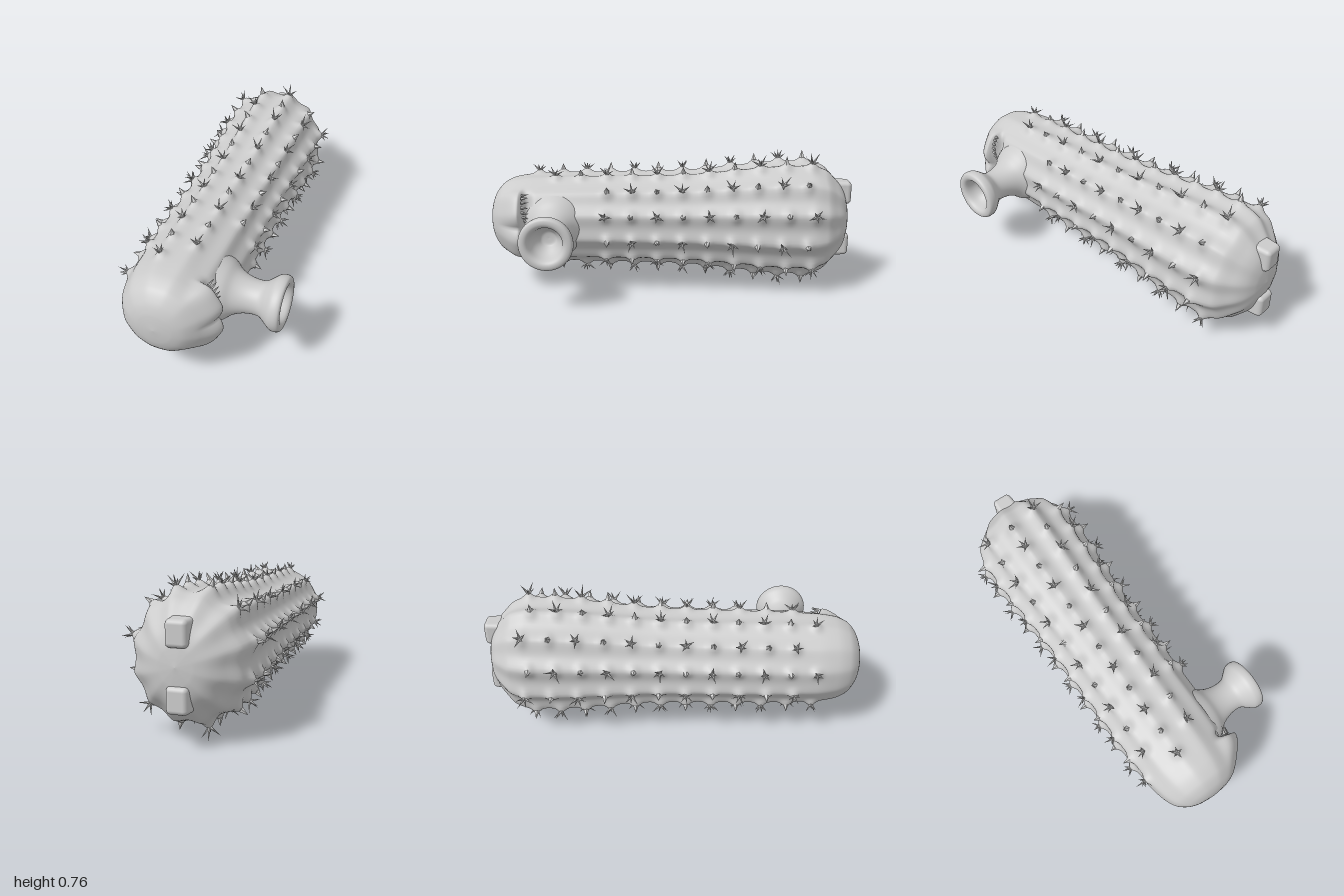
import * as THREE from 'three';
import { mergeGeometries } from 'three/addons/utils/BufferGeometryUtils.js';
import { RoundedBoxGeometry } from 'three/addons/geometries/RoundedBoxGeometry.js';

const CX = -0.08, CY = 0.38, RIBS = 12, STEP = Math.PI * 2 / RIBS;

// Body sections: z, half width, half height, rib depth
const SECTIONS = [
  [1.0, 0.0, 0.0, 0], [0.992, 0.08, 0.08, 0], [0.965, 0.15, 0.15, 0.01], [0.92, 0.198, 0.2, 0.015],
  [0.85, 0.228, 0.228, 0.02], [0.75, 0.247, 0.24, 0.03], [0.5, 0.256, 0.25, 0.05], [0.1, 0.258, 0.257, 0.06],
  [-0.1, 0.26, 0.265, 0.065], [-0.35, 0.273, 0.291, 0.07], [-0.6, 0.289, 0.316, 0.075], [-0.76, 0.29, 0.32, 0.075],
  [-0.84, 0.27, 0.298, 0.07], [-0.9, 0.217, 0.242, 0.06], [-0.95, 0.155, 0.175, 0.04], [-0.978, 0.08, 0.09, 0.02],
  [-0.987, 0, 0, 0],
];

function sectionAt(z) {
  let i = 0;
  while (i < SECTIONS.length - 2 && z < SECTIONS[i + 1][0]) i++;
  const at = k => SECTIONS[Math.min(Math.max(k, 0), SECTIONS.length - 1)];
  const a = at(i), b = at(i + 1), t = (a[0] - z) / (a[0] - b[0]), h = a[0] - b[0];
  // Hermite blend between neighbouring sections
  return [1, 2, 3].map(c => {
    const slope = (p, q) => (p[0] === q[0] ? 0 : (q[c] - p[c]) / (p[0] - q[0]));
    const limit = (p, q) => (p * q <= 0 ? 0 : 2 * p * q / (p + q));
    const s = slope(a, b);
    const m0 = i === 0 ? s : limit(slope(at(i - 1), a), s);
    const m1 = limit(s, slope(b, at(i + 2)));
    return a[c] * (2 * t ** 3 - 3 * t * t + 1) + b[c] * (3 * t * t - 2 * t ** 3)
      + h * (m0 * (t ** 3 - 2 * t * t + t) + m1 * (t ** 3 - t * t));
  });
}

// Spine positions along one rib; ribs beside the bowl start further back
function spineZs(rib) {
  const nearBowl = rib < 2 || rib > RIBS - 3;
  const [start, step] = rib % 2 ? [0.74, 0.134] : [0.63, 0.14];
  return Array.from({ length: 12 }, (_, k) => ({ z: start - k * step, star: k % 2 === 0, k }))
    .filter(s => s.z > -0.8 && !(nearBowl && s.z > 0.44));
}
const SPINES = Array.from({ length: RIBS }, (_, r) => spineZs(r));

function bodyPoint(theta, z) {
  const [rx, ry, depth] = sectionAt(z);
  const rib = Math.floor(theta / STEP) % RIBS;
  const off = theta - (Math.floor(theta / STEP) + 0.5) * STEP;
  const valley = Math.sin(Math.min(1, Math.abs(off) / (STEP / 2)) * Math.PI / 2) ** 1.4;
  let e = 0;
  for (const s of SPINES[rib]) e += 0.024 * Math.exp(-(((z - s.z) / 0.026) ** 2) - (off / 0.1) ** 2);
  // Two swollen lips beside the nose, ending in a steep edge with a pocket behind it
  const side = Math.abs(Math.atan2(Math.sin(theta), Math.cos(theta)));
  const lobe = Math.exp(-(((side - 0.42) / 0.42) ** 4));
  e += 0.046 * lobe * THREE.MathUtils.smoothstep(z, 0.785, 0.81) * (1 - THREE.MathUtils.smoothstep(z, 0.82, 0.95));
  e -= 0.045 * Math.exp(-(((z - 0.77) / 0.022) ** 2) - (side / 0.75) ** 6);
  const k = 1 - depth * valley;
  return new THREE.Vector3(
    CX + Math.cos(theta) * (rx * k + e), CY + Math.sin(theta) * (ry * k + e), z);
}

function bodyGeometry() {
  const rings = 200, segs = 120, pos = [], idx = [];
  for (let i = 0; i <= rings; i++) {
    const u = i / rings;
    // Rings are packed closer at both rounded ends
    const z = 0.0065 + 0.9935 * (0.4 * (1 - 2 * u) + 0.6 * Math.sin((0.5 - u) * Math.PI));
    for (let j = 0; j < segs; j++) {
      const end = i === 0 || i === rings;
      const p = end ? new THREE.Vector3(CX, CY, z) : bodyPoint(j / segs * Math.PI * 2, z);
      pos.push(p.x, p.y, p.z);
    }
  }
  for (let i = 0; i < rings; i++) for (let j = 0; j < segs; j++) {
    const a = i * segs + j, b = i * segs + (j + 1) % segs, c = a + segs, d = b + segs;
    idx.push(a, c, b, b, c, d);
  }
  const g = new THREE.BufferGeometry();
  g.setAttribute('position', new THREE.Float32BufferAttribute(pos, 3));
  g.setIndex(idx);
  g.computeVertexNormals();
  return g;
}

const UP = new THREE.Vector3(0, 1, 0);
function needle(base, dir, length, radius) {
  const g = new THREE.ConeGeometry(radius, length, 5, 1);
  g.translate(0, length / 2, 0);
  g.applyQuaternion(new THREE.Quaternion().setFromUnitVectors(UP, dir.clone().normalize()));
  g.translate(base.x, base.y, base.z);
  return g;
}

// Rounded block that narrows towards the rear
function footGeometry() {
  const g = new RoundedBoxGeometry(0.125, 0.138, 0.16, 4, 0.024);
  const p = g.attributes.position;
  for (let i = 0; i < p.count; i++) {
    const t = 0.5 - p.getZ(i) / 0.16;
    p.setXY(i, p.getX(i) * (1 - 0.2 * t), p.getY(i) * (1 - 0.1 * t));
  }
  return g;
}

export function createModel() {
  const model = new THREE.Group();
  const smooth = new THREE.MeshStandardMaterial({ color: 0xcccccc, side: THREE.DoubleSide });
  const faceted = new THREE.MeshStandardMaterial({ color: 0xcccccc, flatShading: true });
  const add = (name, geometry, material) => {
    const m = new THREE.Mesh(geometry, material);
    m.name = name;
    model.add(m);
    return m;
  };
  add('ribbedBody', bodyGeometry(), smooth);

  // Spines: stars of needles alternating with single stout thorns
  const spines = [];
  SPINES.forEach((list, rib) => list.forEach(({ z, star, k }) => {
    const theta = (rib + 0.5) * STEP;
    const out = new THREE.Vector3(Math.cos(theta), Math.sin(theta), 0);
    const across = new THREE.Vector3(-out.y, out.x, 0);
    const base = bodyPoint(theta, z).addScaledVector(out, -0.01);
    const size = 0.8 + 0.2 * (0.72 - z) / 1.5;
    if (!star) {
      const lean = out.clone().addScaledVector(across, 0.3 * Math.sin(k * 2 + rib));
      spines.push(needle(base, lean, 0.045 * size, 0.016));
      return;
    }
    for (let n = 0; n < 5; n++) {
      const a = n / 5 * Math.PI * 2 + rib + k * 1.7;
      const dir = out.clone().multiplyScalar(0.8 + 0.3 * Math.sin(n * 2.4 + k))
        .addScaledVector(across, Math.cos(a) * 0.75);
      dir.z += Math.sin(a) * 0.75;
      spines.push(needle(base, dir, (0.06 + 0.012 * Math.sin(n * 3 + rib)) * size, 0.008));
    }
  }));
  add('spines', mergeGeometries(spines), faceted);

  // Side bowl: flared foot, neck, thick rim and hollow
  const profile = new THREE.SplineCurve([
    [0.17, 0.2], [0.148, 0.24], [0.118, 0.275], [0.1, 0.31], [0.089, 0.35], [0.086, 0.39], [0.092, 0.42],
    [0.113, 0.448], [0.134, 0.475], [0.14, 0.495], [0.139, 0.515], [0.13, 0.528], [0.108, 0.53],
    [0.09, 0.515], [0.076, 0.47], [0.05, 0.43], [0.035, 0.41], [0, 0.405],
  ].map(p => new THREE.Vector2(...p))).getPoints(68);
  profile.forEach(p => { p.x = Math.max(p.x, 0); });
  const bowl = add('sideBowl', new THREE.LatheGeometry(profile, 48), smooth);
  bowl.rotation.z = -Math.PI / 2;
  bowl.position.set(-0.09, 0.378, 0.622);

  // Small teeth in two arcs behind the lips
  const teeth = [];
  for (const s of [1, -1]) for (let n = 0; n < 8; n++) {
    const a = (n / 7 - 0.5) * 2.4;
    const base = new THREE.Vector3(0.1 + 0.045 * Math.cos(a), CY + s * 0.095 + Math.sin(a) * 0.08, 0.795);
    teeth.push(needle(base, new THREE.Vector3(0.3, Math.sin(a) * 0.3, -1), 0.045, 0.009));
  }
  add('lipTeeth', mergeGeometries(teeth), faceted);

  // Tapered feet on the rear end
  for (const s of [1, -1]) {
    const foot = add(s > 0 ? 'upperRearFoot' : 'lowerRearFoot', footGeometry(), smooth);
    foot.position.set(-0.087, CY + s * 0.148, -0.92);
  }
  return model;
}
